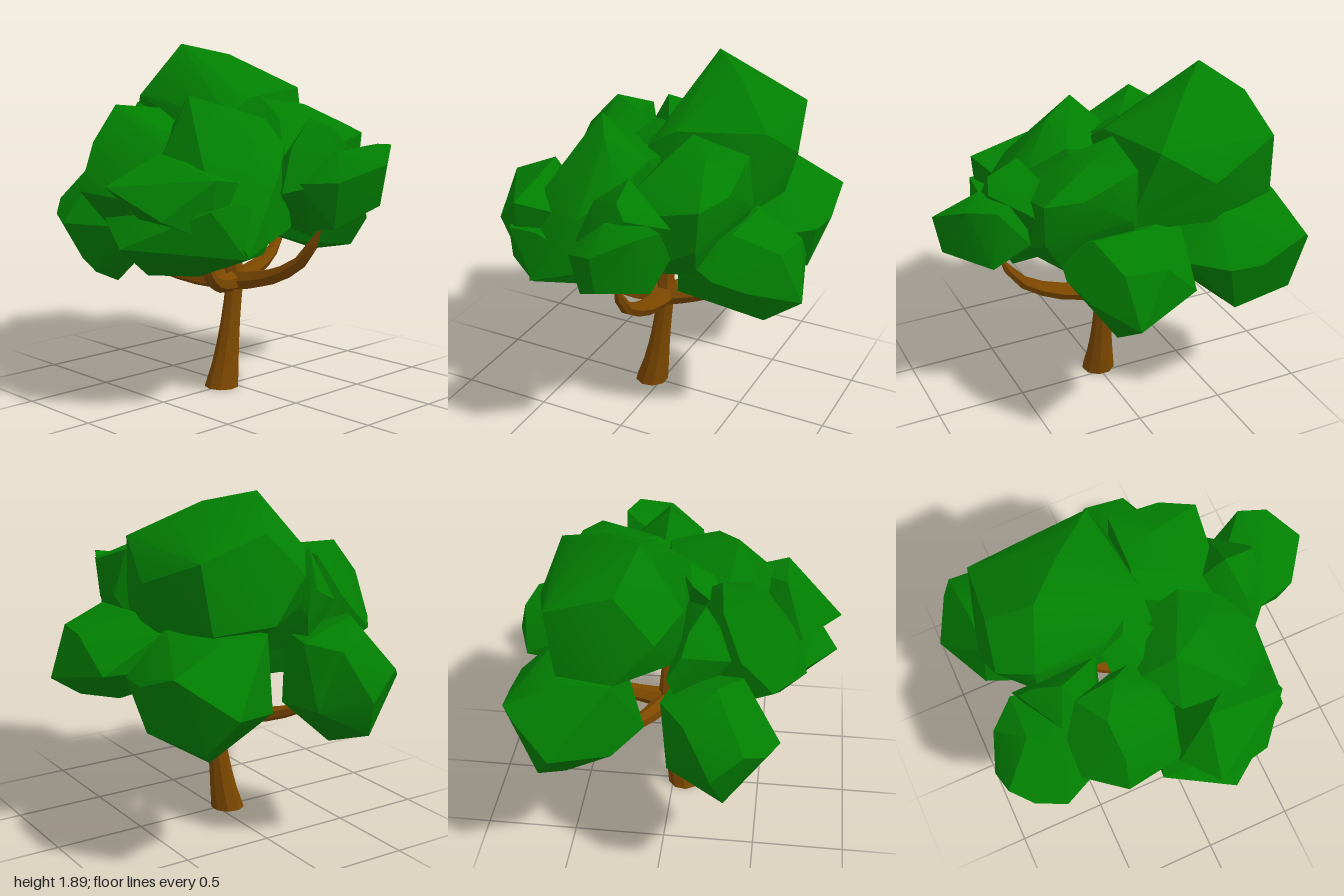
import * as THREE from 'three';
import { ConvexGeometry } from 'three/addons/geometries/ConvexGeometry.js';
import { toCreasedNormals } from 'three/addons/utils/BufferGeometryUtils.js';

const V = (p) => new THREE.Vector3(...p);

// Faceted leaf clumps, each the hull of a few corner points
const clumps = {
  crownTop: [[-0.52, 1.89, -0.1], [-0.33, 1.83, -0.3], [-0.27, 1.74, -0.45], [-0.75, 1.72, -0.2], [-0.8, 1.5, 0], [-0.84, 1.28, -0.2],
    [-0.72, 1.6, -0.55], [-0.33, 1.45, -0.65], [-0.05, 1.64, -0.58], [0.03, 1.6, -0.1], [-0.75, 1.25, -0.5], [-0.35, 1.2, -0.58],
    [0.1, 1.2, -0.5], [-0.63, 1.6, 0.12], [-0.63, 1.3, 0.1], [0.03, 1.5, 0.06], [0.05, 1.3, 0.1], [-0.3, 1, -0.1]],
  crownLeft: [[0.03, 1.6, -0.2], [0.22, 1.56, -0.36], [0.05, 1.55, -0.53], [0.53, 1.42, -0.47], [0.35, 1.45, -0.55], [0.52, 1.2, -0.45],
    [0.4, 1, -0.4], [0, 1.05, -0.45], [0.5, 1, -0.12], [0.48, 1.25, 0.07], [0, 1, 0], [0.1, 1.3, -0.58], [0, 1.5, -0.08],
    [0.25, 1.5, -0.12]],
  backRightClump: [[-1, 0.9, -0.51], [-0.88, 1.05, -0.7], [-0.82, 1.1, -0.76], [-0.55, 1, -0.79], [-0.37, 1, -0.77], [-0.2, 1, -0.6],
    [-0.85, 0.85, -0.22], [-0.7, 0.6, -0.49], [-0.85, 0.7, -0.6], [-0.45, 0.72, -0.7], [-0.3, 0.8, -0.35], [-0.5, 0.77, -0.1],
    [-0.8, 1.24, -0.45], [-0.4, 1.24, -0.55], [-0.2, 1.2, -0.3], [-0.8, 1.24, -0.22]],
  backClump: [[0.21, 0.87, -0.91], [0.03, 1.14, -0.83], [0.25, 1.14, -0.8], [-0.16, 0.95, -0.79], [-0.2, 0.95, -0.6], [0.38, 0.95, -0.68],
    [0.43, 1, -0.5], [0.12, 0.72, -0.55], [0.25, 0.74, -0.72], [0, 1.24, -0.57], [0.3, 1.22, -0.55], [0.3, 0.82, -0.25],
    [-0.1, 0.85, -0.25], [0.4, 1.1, -0.3], [-0.25, 1.2, -0.4], [-0.25, 0.95, -0.35]],
  frontRightClump: [[-0.78, 1.26, 0.3], [-0.62, 1.22, 0.42], [-0.92, 1.12, 0.15], [-0.97, 1, 0.45], [-1, 0.85, 0.29], [-0.9, 0.64, 0.35],
    [-0.63, 0.54, 0.3], [-0.71, 0.9, 0.62], [-0.87, 0.93, 0.55], [-0.4, 0.72, 0.35], [-0.35, 0.9, 0.45], [-0.85, 0.8, 0.06],
    [-0.55, 0.78, 0.05], [-0.5, 1.15, 0.1], [-0.77, 1.15, 0.02], [-0.6, 0.62, 0.48]],
  frontUpperClump: [[0.1, 1.35, 0.6], [0.53, 1.25, 0.6], [0.04, 1.2, 0.9], [-0.1, 1.12, 0.7], [0.36, 1.05, 0.81], [0.15, 1.04, 0.78],
    [0.5, 0.95, 0.62], [0, 1, 0.4], [0.45, 1.2, 0.3]],
  frontLowerClump: [[0.15, 0.9, 0.9], [-0.2, 1, 0.72], [0.15, 1.06, 0.76], [0.53, 1.1, 0.64], [0.45, 0.88, 0.68], [0.6, 0.85, 0.46],
    [0.05, 0.72, 0.64], [0.15, 0.69, 0.38], [-0.15, 0.82, 0.4], [0, 0.85, 0.15], [0.5, 0.84, 0.25], [0.56, 1.12, 0.45],
    [0.54, 1, 0.18]],
  middleRightClump: [[-0.4, 1.57, 0.48], [-0.5, 1.52, 0.3], [-0.27, 1.55, 0.28], [-0.08, 1.45, 0.42], [-0.6, 1.3, 0.4], [-0.6, 1.12, 0.57],
    [-0.4, 1.12, 0.73], [-0.08, 1.1, 0.68], [-0.38, 1.38, 0.65], [-0.05, 1.38, 0.5], [-0.2, 0.84, 0.45], [-0.35, 0.95, 0.6],
    [-0.5, 0.9, 0.2], [-0.15, 0.84, 0.1], [0, 1.3, 0.1]],
  sideRightClump: [[-0.53, 1.57, 0.22], [-0.66, 1.5, 0.15], [-0.74, 1.4, 0.12], [-0.76, 1.28, 0.05], [-0.7, 1.1, 0.1], [-0.45, 1.2, 0.4],
    [-0.6, 1.3, 0.34], [-0.3, 1.45, 0.1], [-0.3, 1, 0.1]],
  centreClump: [[-0.15, 1.58, 0.1], [-0.28, 1.52, 0.13], [-0.1, 1.58, 0], [0.02, 1.5, 0.1], [-0.05, 1.4, 0.32], [-0.25, 1.35, 0.3],
    [-0.1, 1.2, 0]],
  middleLeftClump: [[0.03, 1.63, 0.34], [0.22, 1.57, 0.22], [0.22, 1.5, -0.04], [-0.15, 1.45, 0.3], [0.56, 1.25, 0.2], [0.5, 1.25, 0.35],
    [0.35, 1.28, 0.52], [0.62, 0.86, 0.47], [0, 1.3, 0.5], [0.55, 0.97, 0.1], [-0.1, 0.86, 0.1], [0.3, 0.82, 0.12],
    [0.3, 0.78, 0.4], [0.43, 1.38, 0.03], [-0.1, 1.4, 0], [0, 0.95, -0.1]],
  leftInnerClump: [[0.51, 1.52, -0.08], [0.68, 1.46, -0.1], [0.37, 1.35, -0.1], [0.53, 1.3, -0.32], [0.7, 1.38, -0.15], [0.58, 1.15, 0.2],
    [0.55, 1.38, 0.1], [0.55, 0.9, -0.06], [0.4, 0.95, 0], [0.72, 1.2, 0.05], [0.4, 1.2, 0.12], [0.35, 1, -0.2]],
  leftOuterClump: [[0.73, 1.38, -0.36], [0.87, 1.39, -0.3], [0.99, 1.31, -0.12], [0.95, 1.1, -0.12], [0.8, 0.98, 0.05], [0.85, 1.22, 0.08],
    [0.72, 1.36, -0.05], [0.55, 1.15, -0.33], [0.75, 1.05, -0.32], [0.55, 0.93, -0.05], [0.62, 1.2, 0.13], [0.5, 1.3, -0.1]],
};

// Branch centre lines, all starting in the fork
const fork = [0, 0.59, -0.03];
const branches = {
  leftBranch: [[0.25, 0.64, -0.04], [0.5, 0.77, -0.04], [0.63, 0.97, -0.05]],
  rightBranch: [[-0.2, 0.61, -0.12], [-0.4, 0.67, -0.22], [-0.54, 0.77, -0.29]],
  frontRightBranch: [[-0.2, 0.6, 0.09], [-0.4, 0.66, 0.22], [-0.54, 0.74, 0.29]],
  frontBranch: [[0.06, 0.6, 0.14], [0.13, 0.66, 0.27], [0.17, 0.79, 0.37]],
  backBranch: [[-0.02, 0.63, -0.2], [-0.05, 0.7, -0.37], [-0.08, 0.85, -0.5]],
  centreBranch: [[-0.01, 0.68, -0.03], [-0.01, 0.8, -0.03], [-0.01, 0.98, -0.04]],
};

// Tube that narrows from r0 to r1 and closes at its tip
function taperedLimb(points, r0, r1, sides) {
  const curve = new THREE.CatmullRomCurve3(points.map(V));
  const rings = 6;
  const geo = new THREE.TubeGeometry(curve, rings, 1, sides);
  const pos = geo.attributes.position;
  const p = new THREE.Vector3();
  for (let i = 0; i < pos.count; i++) {
    const t = Math.floor(i / (sides + 1)) / rings;
    const c = curve.getPointAt(t);
    const r = t === 1 ? 0 : r0 + (r1 - r0) * t;
    p.fromBufferAttribute(pos, i).sub(c).multiplyScalar(r).add(c);
    pos.setXYZ(i, p.x, p.y, p.z);
  }
  return toCreasedNormals(geo, 0.5);
}

// Leaning trunk with a flared foot
function trunkGeometry() {
  const height = 0.6;
  const geo = new THREE.CylinderGeometry(1, 1, height, 9, 5);
  geo.translate(0, height / 2, 0);
  const pos = geo.attributes.position;
  for (let i = 0; i < pos.count; i++) {
    const t = THREE.MathUtils.clamp(pos.getY(i) / height, 0, 1);
    const r = 0.049 + 0.046 * Math.pow(1 - t, 2.2);
    const lean = 0.065 - 0.095 * Math.pow(t, 0.8);
    pos.setX(i, pos.getX(i) * r - 0.008 * (1 - t));
    pos.setZ(i, pos.getZ(i) * r + lean);
  }
  return toCreasedNormals(geo, 0.5);
}

export function createModel() {
  const bark = new THREE.MeshStandardMaterial({ color: 0x7d4800 });
  bark.name = 'bark brown';
  const leaf = new THREE.MeshStandardMaterial({ color: 0x028002 });
  leaf.name = 'leaf green';

  const tree = new THREE.Group();
  tree.name = 'tree';
  const add = (name, geo, material) => {
    const mesh = new THREE.Mesh(geo, material);
    mesh.name = name;
    tree.add(mesh);
  };

  add('trunk', trunkGeometry(), bark);
  for (const [name, path] of Object.entries(branches)) {
    add(name, taperedLimb([fork, ...path], 0.06, 0.022, 6), bark);
  }
  for (const [name, corners] of Object.entries(clumps)) {
    add(name, toCreasedNormals(new ConvexGeometry(corners.map(V)), 0.5), leaf);
  }
  return tree;
}
